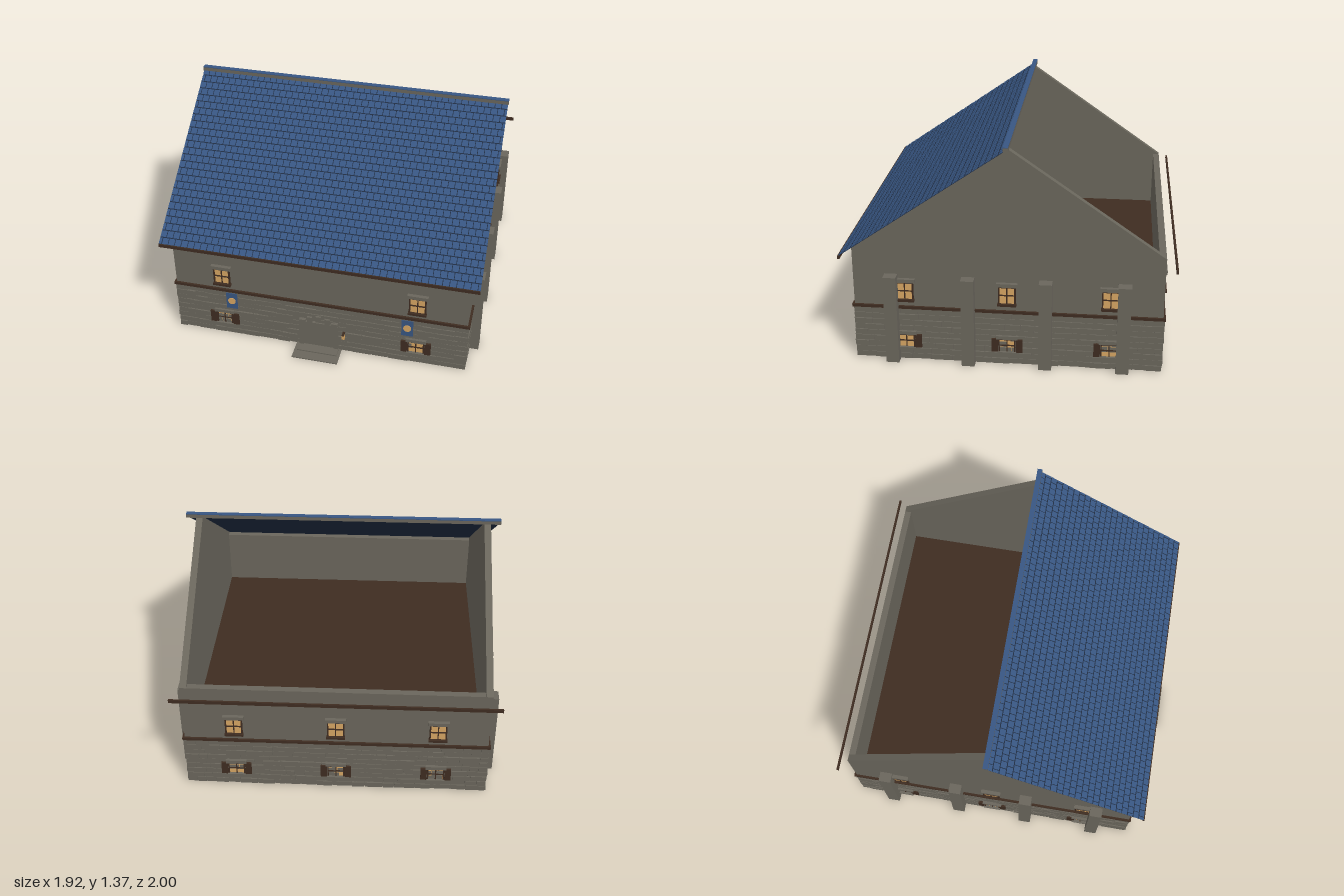
import * as THREE from 'three';
import { mergeGeometries } from 'three/addons/utils/BufferGeometryUtils.js';

const mat = (name, color, side = THREE.FrontSide) => {
  const m = new THREE.MeshStandardMaterial({ color, side });
  m.name = name;
  return m;
};

export function createModel() {
  const stone = mat('grey stone', 0x6a665c);
  const wood = mat('dark wood', 0x3e2c21);
  const glow = mat('lit glass', 0xd6a563);
  const slate = mat('blue slate', 0x385682, THREE.DoubleSide);
  const gap = mat('dark slate', 0x1f2c42, THREE.DoubleSide);

  const model = new THREE.Group();
  const house = new THREE.Group();
  house.name = 'house';
  house.position.z = -0.035;
  model.add(house);

  let seed = 7;
  const rand = () => (seed = (seed * 16807) % 2147483647) / 2147483647;

  const add = (parent, name, geo, material) => {
    const m = new THREE.Mesh(geo, material);
    m.name = name;
    parent.add(m);
    return m;
  };
  // Box given by its min and max corners
  const boxGeo = (x0, x1, y0, y1, z0, z1) =>
    new THREE.BoxGeometry(x1 - x0, y1 - y0, z1 - z0)
      .translate((x0 + x1) / 2, (y0 + y1) / 2, (z0 + z1) / 2);
  const box = (parent, name, material, ...c) => add(parent, name, boxGeo(...c), material);

  const H = 0.9, T = 0.04, EAVE = 0.72, RIDGE = 1.345;

  // Front and back walls, open at the top
  box(house, 'frontWall', stone, -H + T, H - T, 0, EAVE, H - T, H);
  box(house, 'backWall', stone, -H + T, H - T, 0, EAVE, -H, -H + T);

  // Gable walls
  const gable = new THREE.Shape([[-H, 0], [H, 0], [H, EAVE], [0, RIDGE], [-H, EAVE]]
    .map(([x, y]) => new THREE.Vector2(x, y)));
  const gableGeo = new THREE.ExtrudeGeometry(gable, { depth: T, bevelEnabled: false }).rotateY(Math.PI / 2);
  add(house, 'rightGable', gableGeo, stone).position.x = -H;
  add(house, 'leftGable', gableGeo, stone).position.x = H - T;

  // Floors
  box(house, 'groundFloor', stone, -H + T, H - T, 0.03, 0.05, -H + T, H - T);
  box(house, 'upperFloor', wood, -H + T, H - T, 0.34, 0.36, -H + T, H - T);

  // Window on a wall whose surface is local z = 0
  const addWindow = (wall, x, low) => {
    const g = new THREE.Group();
    g.name = low ? 'lowerWindow' : 'upperWindow';
    g.position.x = x;
    wall.add(g);
    const y0 = low ? 0.085 : 0.4, y1 = low ? 0.165 : 0.505, w = 0.047, mid = (y0 + y1) / 2;
    box(g, 'pane', glow, -w, w, y0, y1, 0, 0.007);
    box(g, 'mullion', wood, -0.003, 0.003, y0, y1, 0, 0.013);
    box(g, 'crossBar', wood, -w, w, mid - 0.003, mid + 0.003, 0, 0.013);
    for (const s of [-1, 1]) {
      const e = s * w;
      box(g, 'frameSide', wood, e - 0.004, e + 0.004, y0, y1, 0, 0.015);
      if (low) box(g, 'shutter', wood, s * 0.072 - 0.019, s * 0.072 + 0.019, y0 - 0.002, y1 + 0.002, 0, 0.018);
    }
    box(g, 'frameTop', wood, -w, w, y1 - 0.004, y1 + 0.003, 0, 0.015);
    box(g, 'lintel', stone, -0.062, 0.062, y1 + 0.003, y1 + 0.025, 0, 0.022);
    box(g, 'sill', low ? stone : wood, -0.055, 0.055, y0 - 0.014, y0, 0, 0.024);
  };

  // Rough stone courses on the lower storey
  const addStones = (wall) => {
    const parts = [], rows = 9, h = 0.335 / rows;
    for (let r = 0; r < rows; r++) {
      for (let x = -H - 0.004; x < H;) {
        let x1 = Math.min(x + 0.05 + rand() * 0.08, H + 0.004);
        if (H - x1 < 0.03) x1 = H + 0.004;
        parts.push(boxGeo(x, x1 - 0.004, r * h + 0.002, (r + 1) * h - 0.002, -0.002, 0.003 + rand() * 0.008));
        x = x1;
      }
    }
    add(wall, 'stoneCourses', mergeGeometries(parts), stone);
  };

  // Four dressed sides
  const sides = [
    ['frontSide', 0, [-0.6, 0.6]],
    ['leftSide', Math.PI / 2, [-0.597, 0, 0.597]],
    ['backSide', Math.PI, [-0.6, 0, 0.6]],
    ['rightSide', -Math.PI / 2, [-0.597, 0, 0.597]],
  ];
  const walls = sides.map(([name, angle, xs], i) => {
    const wall = new THREE.Group();
    wall.name = name;
    wall.rotation.y = angle;
    wall.position.set(Math.sin(angle) * H, 0, Math.cos(angle) * H);
    house.add(wall);
    addStones(wall);
    box(wall, 'beltBeam', wood, -H - 0.012, H + 0.012, 0.335, 0.352, -0.005, 0.013);
    for (const x of xs) {
      addWindow(wall, x, false);
      addWindow(wall, x, true);
    }
    if (i % 2) for (const x of [-0.675, -0.225, 0.225, 0.675])
      box(wall, 'buttress', stone, x - 0.038, x + 0.038, 0, 0.555, -0.01, 0.06);
    return wall;
  });

  // Doorway, steps, lantern and hanging banners on the front
  const front = walls[0];
  const door = new THREE.Group();
  door.name = 'doorway';
  front.add(door);
  box(door, 'doorPanel', stone, -0.096, 0.096, 0, 0.166, 0, 0.014);
  box(door, 'doorLintel', stone, -0.1, 0.1, 0.166, 0.2, 0, 0.019);
  for (const s of [-1, 1]) {
    box(door, 'jamb', stone, s * 0.108 - 0.014, s * 0.108 + 0.014, 0, 0.19, 0, 0.021);
    box(door, 'jambCap', stone, s * 0.1 - 0.02, s * 0.1 + 0.02, 0.19, 0.215, 0, 0.024);
  }
  [[-0.055, 0.228], [0, 0.24], [0.055, 0.228]].forEach(([x, y]) =>
    box(door, 'archStone', stone, x - 0.016, x + 0.016, y - 0.03, y + 0.012, 0, 0.022));
  box(door, 'lowerStep', stone, -0.142, 0.142, 0, 0.007, 0, 0.135);
  box(door, 'upperStep', stone, -0.125, 0.125, 0, 0.014, 0, 0.075);
  box(front, 'lanternBracket', wood, 0.15, 0.164, 0.146, 0.152, 0, 0.038);
  box(front, 'lantern', glow, 0.148, 0.166, 0.118, 0.146, 0.018, 0.038);
  for (const x of [-0.545, 0.545]) {
    box(front, 'banner', slate, x - 0.035, x + 0.035, 0.212, 0.33, 0.012, 0.016);
    add(front, 'bannerDisc', new THREE.CylinderGeometry(0.024, 0.024, 0.004, 16).rotateX(Math.PI / 2), glow)
      .position.set(x, 0.272, 0.018);
  }

  // Slated front slope with staggered rows; the back slope is left open
  const run = 0.965, drop = 0.67, L = Math.hypot(run, drop), X = 0.957;
  const slope = new THREE.Group();
  slope.name = 'roofSlope';
  slope.position.set(0, RIDGE + 0.003, 0);
  slope.rotation.x = -Math.atan2(run, drop);
  house.add(slope);
  add(slope, 'roofUnderlay', new THREE.PlaneGeometry(2 * X, L).translate(0, -L / 2, 0), gap);
  const tiles = [], rows = 26, pitch = L / rows, tw = 0.04;
  for (let r = 0; r < rows; r++) {
    for (let x = -X - (r % 2) * tw / 2; x < X - 0.005; x += tw) {
      const a = Math.max(x, -X), b = Math.min(x + tw - 0.004, X);
      tiles.push(new THREE.PlaneGeometry(b - a, pitch - 0.006)
        .translate((a + b) / 2, -(r + 0.5) * pitch, 0.003));
    }
  }
  add(slope, 'roofTiles', mergeGeometries(tiles), slate);

  // Ridge cap and eave boards
  box(house, 'ridgeCap', stone, -0.96, 0.96, RIDGE - 0.002, 1.365, -0.015, 0.015);
  box(house, 'ridgeTop', slate, -0.96, 0.96, 1.365, 1.369, -0.015, 0.015);
  box(house, 'frontEaveBoard', wood, -X, X, 0.66, 0.68, 0.958, 0.97);
  box(house, 'backEaveBoard', wood, -X, X, 0.66, 0.68, -0.965, -0.953);

  return model;
}
